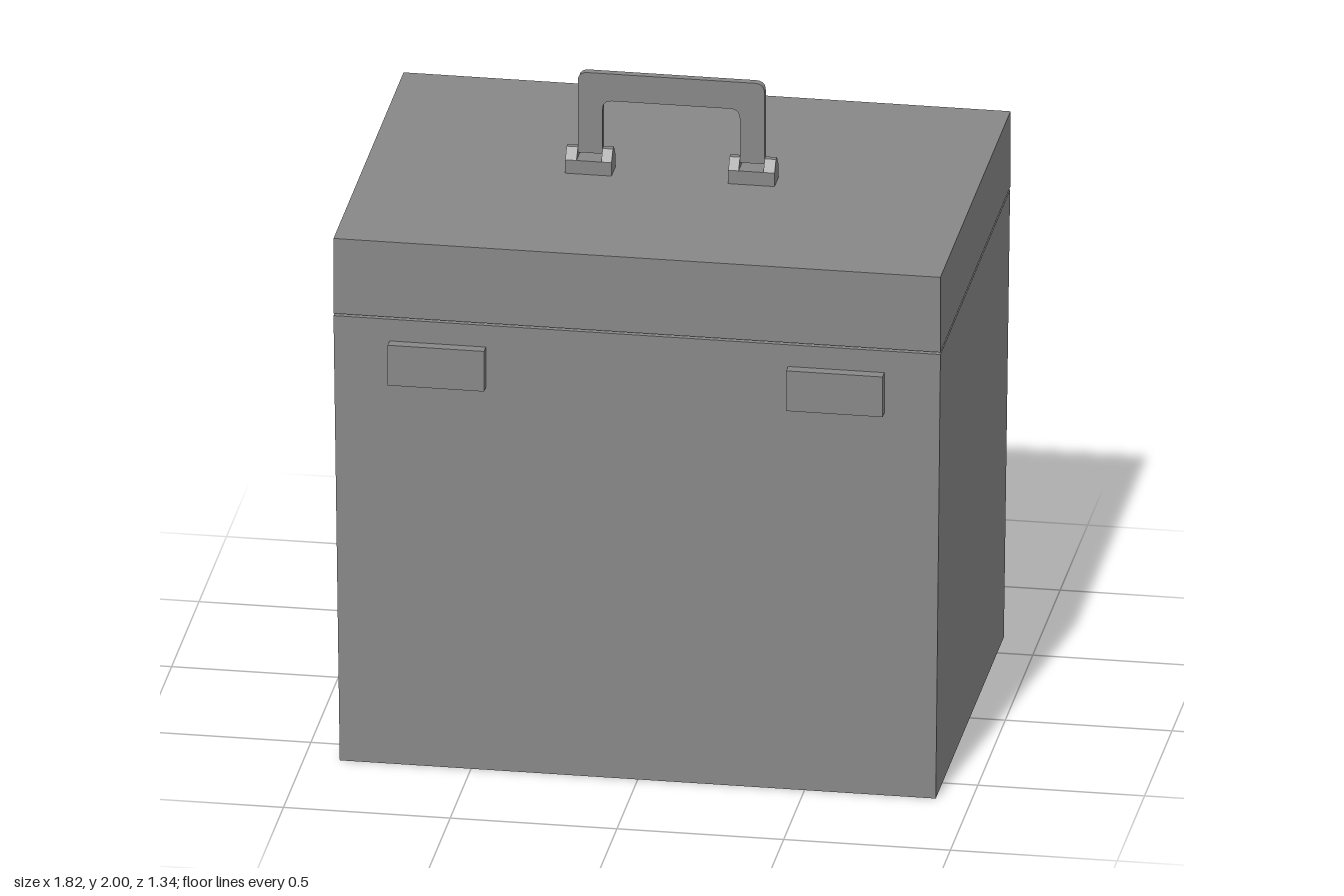
import * as THREE from 'three';

const material = new THREE.MeshStandardMaterial({ color: 0x878787, flatShading: true });
const smooth = new THREE.MeshStandardMaterial({ color: 0x878787 });

function add(parent, name, geometry, x = 0, y = 0, z = 0, mat = material) {
  const mesh = new THREE.Mesh(geometry, mat);
  mesh.name = name;
  mesh.position.set(x, y, z);
  parent.add(mesh);
}

// Box given by its lower and upper limits
function addBox(parent, name, [x0, x1], [y0, y1], [z0, z1]) {
  add(parent, name, new THREE.BoxGeometry(x1 - x0, y1 - y0, z1 - z0),
    (x0 + x1) / 2, (y0 + y1) / 2, (z0 + z1) / 2);
}

// Flat carrying handle with rounded corners
function handleGeometry() {
  const out = 0.28, inn = 0.206, top = 2, under = 1.913, foot = 1.742, r = 0.03;
  const s = new THREE.Shape();
  s.moveTo(out, foot);
  s.lineTo(out, top - r);
  s.quadraticCurveTo(out, top, out - r, top);
  s.lineTo(-out + r, top);
  s.quadraticCurveTo(-out, top, -out, top - r);
  s.lineTo(-out, foot);
  s.lineTo(-inn, foot);
  s.lineTo(-inn, under - r);
  s.quadraticCurveTo(-inn, under, -inn + r, under);
  s.lineTo(inn - r, under);
  s.quadraticCurveTo(inn, under, inn, under - r);
  s.lineTo(inn, foot);
  s.closePath();
  return new THREE.ExtrudeGeometry(s, { depth: 0.024, bevelEnabled: false, curveSegments: 5 })
    .translate(0, 0, -0.012);
}

// Tapered ear that grips one side of a handle leg
function earGeometry(width) {
  const s = new THREE.Shape();
  s.moveTo(-0.035, 0);
  s.lineTo(0.035, 0);
  s.lineTo(0.009, 0.033);
  s.lineTo(-0.009, 0.033);
  s.closePath();
  return new THREE.ExtrudeGeometry(s, { depth: width, bevelEnabled: false })
    .rotateY(Math.PI / 2);
}

export function createModel() {
  const model = new THREE.Group();
  model.name = 'carryBox';

  // Body, narrowing slightly toward the bottom
  const bodyGeometry = new THREE.BoxGeometry(1.82, 1.434, 1.27);
  const p = bodyGeometry.attributes.position;
  for (let i = 0; i < p.count; i++) {
    if (p.getY(i) < 0) p.setXYZ(i, p.getX(i) * 0.982, p.getY(i), p.getZ(i) * 0.977);
  }
  bodyGeometry.computeVertexNormals();
  add(model, 'body', bodyGeometry, 0, 0.717, 0);

  // Lid
  addBox(model, 'lid', [-0.91, 0.91], [1.441, 1.682], [-0.642, 0.635]);

  // Hinge barrel with its leaf between lid and body
  const barrel = new THREE.CylinderGeometry(0.025, 0.025, 1.63, 20).rotateZ(Math.PI / 2);
  add(model, 'hingeBarrel', barrel, 0, 1.44, -0.645, smooth);
  addBox(model, 'hingeLeaf', [-0.815, 0.815], [1.434, 1.441], [-0.64, -0.61]);

  // Front latches and handle mounts, mirrored left and right
  for (const [side, s] of [['left', 1], ['right', -1]]) {
    const span = (a, b) => (s > 0 ? [a, b] : [-b, -a]);
    addBox(model, side + 'Latch', span(0.453, 0.742), [1.235, 1.364], [0.62, 0.668]);

    const mount = new THREE.Group();
    mount.name = side + 'HandleMount';
    addBox(mount, 'mountBase', span(0.175, 0.314), [1.682, 1.725], [-0.035, 0.035]);
    for (const [a, b] of [[0.175, 0.206], [0.28, 0.314]]) {
      add(mount, 'mountEar', earGeometry(b - a), span(a, b)[0], 1.725, 0);
    }
    model.add(mount);
  }

  // Handle
  add(model, 'handle', handleGeometry());

  return model;
}
